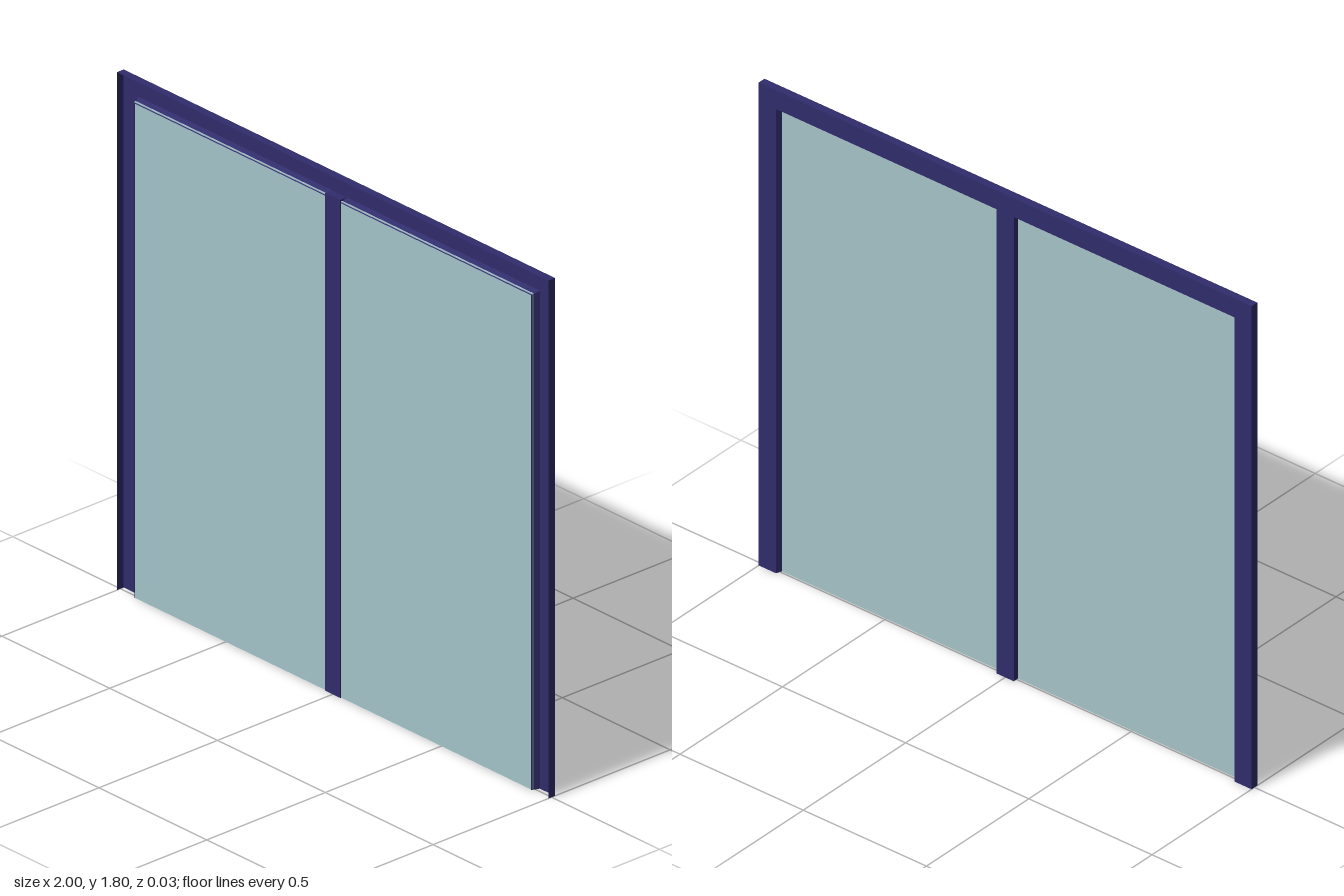
import * as THREE from 'three';

const W = 1, H = 1.8, D = 0.014; // half width, height, half depth

// Thin channel, open to the front, mitred round both jambs and the head
function channelGeometry(profile) {
  const corners = d => [[-W + d, 0], [-W + d, H - d], [W - d, H - d], [W - d, 0]];
  const pos = [];
  for (let i = 0; i < profile.length - 1; i++) {
    const [d0, z0] = profile[i], [d1, z1] = profile[i + 1];
    const a = corners(d0), b = corners(d1);
    for (let k = 0; k < 3; k++) {
      const p = [...a[k], z0], q = [...a[k + 1], z0];
      const r = [...b[k + 1], z1], s = [...b[k], z1];
      pos.push(...p, ...q, ...r, ...p, ...r, ...s);
    }
  }
  const g = new THREE.BufferGeometry();
  g.setAttribute('position', new THREE.Float32BufferAttribute(pos, 3));
  g.computeVertexNormals();
  return g;
}

export function createModel() {
  const group = new THREE.Group();
  const frameMat = new THREE.MeshStandardMaterial({ color: 0x302c6c, side: THREE.DoubleSide });
  const glassMat = new THREE.MeshStandardMaterial({ color: 0xa4c3c8 });

  const add = (name, geometry, material, x = 0, y = 0, z = 0) => {
    const mesh = new THREE.Mesh(geometry, material);
    mesh.name = name;
    mesh.position.set(x, y, z);
    group.add(mesh);
  };

  // Outer frame: outer wall, back web, slightly splayed inner wall
  add('outerFrame', channelGeometry([[0, D], [0, -D], [0.07, -D], [0.08, D]]), frameMat);

  // Centre post
  add('centrePost', new THREE.BoxGeometry(0.07, 1.73, 2 * D), frameMat, 0, 0.865, 0);

  // Two glass panes, close to the front
  for (const side of [-1, 1]) {
    add(side > 0 ? 'leftPane' : 'rightPane',
      new THREE.BoxGeometry(0.89, 1.725, 0.004), glassMat, side * 0.478, 0.8625, 0.008);
  }
  return group;
}
